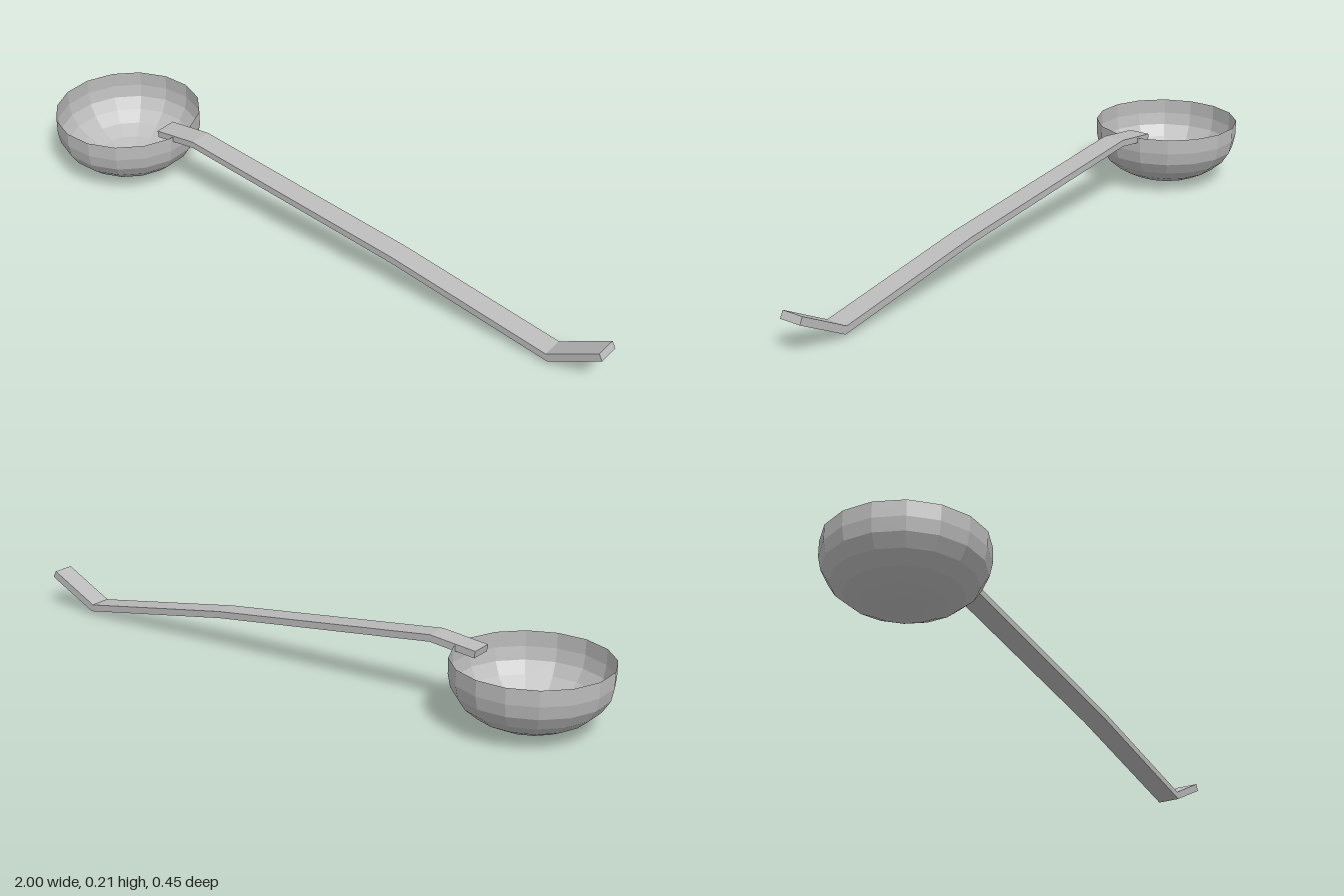
import * as THREE from 'three';

const steel = new THREE.MeshStandardMaterial({ color: 0xbbbbbb, flatShading: true, side: THREE.DoubleSide });
steel.name = 'steel';

// Thin open bowl: squashed hemisphere with a short upright rim
function makeBowl() {
  const radius = 0.23, depth = 0.15, rimTop = 0.197, rings = 6;
  const profile = [];
  for (let i = 0; i <= rings; i++) {
    const a = (i / rings) * Math.PI / 2;
    profile.push(new THREE.Vector2(radius * Math.sin(a), depth * (1 - Math.cos(a))));
  }
  profile.push(new THREE.Vector2(radius, rimTop));
  const bowl = new THREE.Mesh(new THREE.LatheGeometry(profile, 16, Math.PI / 16), steel);
  bowl.name = 'bowl';
  bowl.position.x = -0.774;
  return bowl;
}

// Flat bent bar: side outline extruded across its width
function makeHandle() {
  const width = 0.07;
  const top = [[-0.613, 0.194], [-0.465, 0.211], [0.3, 0.121], [0.828, 0.034], [0.989, 0.118]];
  const bottom = [[1, 0.097], [0.834, 0.011], [0.297, 0.1], [-0.465, 0.19], [-0.61, 0.173]];
  const outline = new THREE.Shape([...top, ...bottom].map(([x, y]) => new THREE.Vector2(x, y)));
  const geometry = new THREE.ExtrudeGeometry(outline, { depth: width, bevelEnabled: false });
  geometry.translate(0, 0, -width / 2);
  const handle = new THREE.Mesh(geometry, steel);
  handle.name = 'handle';
  return handle;
}

export function createModel() {
  const ladle = new THREE.Group();
  ladle.name = 'ladle';
  ladle.add(makeBowl(), makeHandle());
  return ladle;
}
